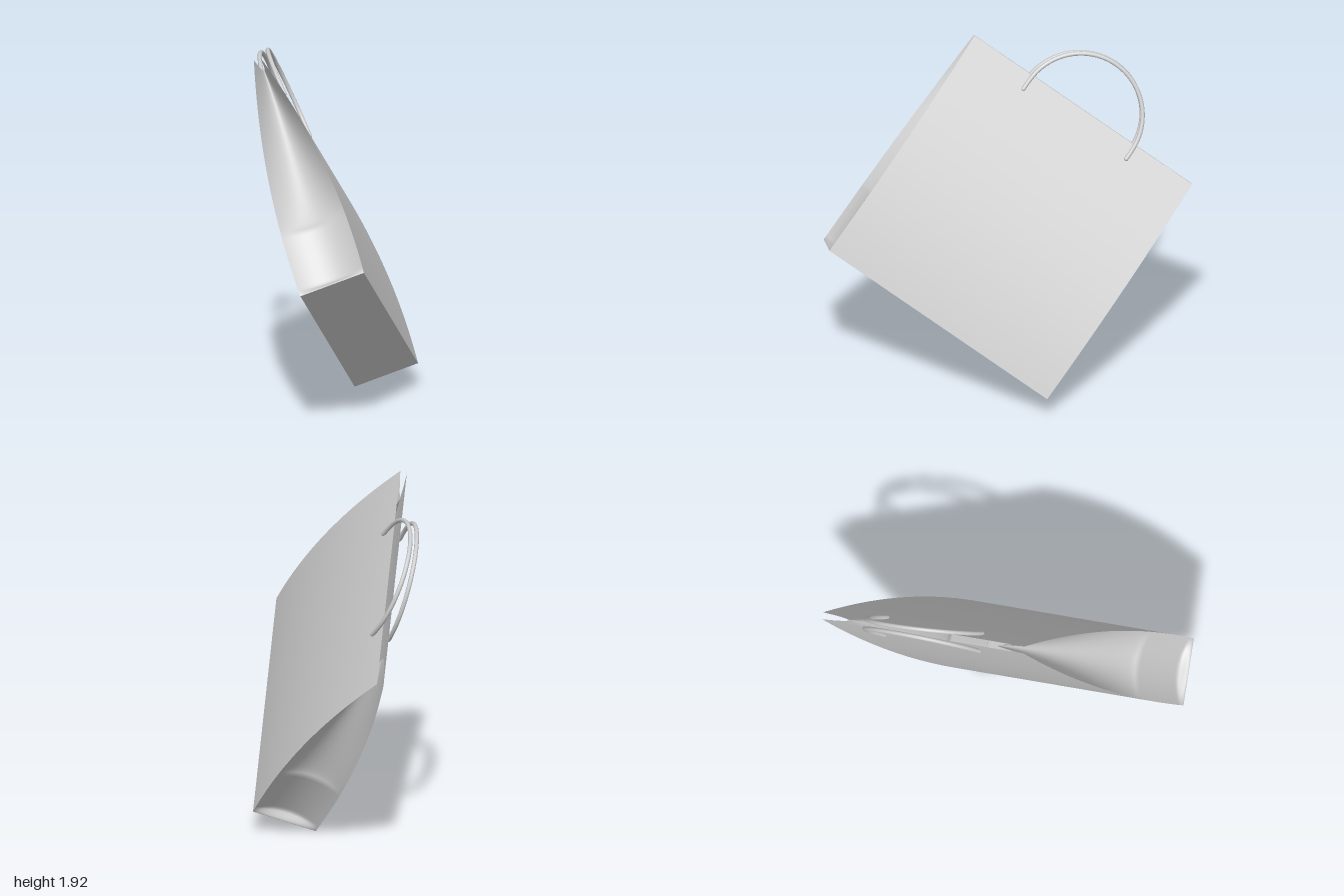
import * as THREE from 'three';
import { ParametricGeometry } from 'three/addons/geometries/ParametricGeometry.js';

const W = 1.442, H = 1.39, D = 0.366, TOP = 0.038;

// Bowed half-depth of the front (+1) or back (-1) panel at height fraction t
const depthAt = (t, side) => {
  const bulge = side > 0 ? 0.062 : 0.05;
  return THREE.MathUtils.lerp(D / 2, TOP / 2, t) + 4 * bulge * t * (1 - t);
};

export function createModel() {
  const model = new THREE.Group();
  const paper = new THREE.MeshStandardMaterial({ color: 0xcccccc, side: THREE.DoubleSide });
  const cord = new THREE.MeshStandardMaterial({ color: 0xcccccc });
  const bag = new THREE.Group();
  bag.name = 'shoppingBag';
  model.add(bag);

  const add = (name, geometry, material = paper) => {
    const mesh = new THREE.Mesh(geometry, material);
    mesh.name = name;
    bag.add(mesh);
    return mesh;
  };

  // Large front and back panels, bowed outwards
  for (const side of [1, -1]) {
    add(side > 0 ? 'frontPanel' : 'backPanel', new ParametricGeometry((u, t, p) => {
      p.set(side * (u - 0.5) * W, t * H, side * depthAt(t, side));
    }, 4, 32));
  }

  // Side gussets, folding inwards more deeply as the bag narrows
  for (const side of [1, -1]) {
    add(side > 0 ? 'leftGusset' : 'rightGusset', new ParametricGeometry((u, v, p) => {
      const t = v * v * (2 - v);
      const s = (u * 2 - 1) * side;
      const front = depthAt(t, 1), back = depthAt(t, -1);
      const half = (front + back) / 2;
      const ledge = 0.05 * THREE.MathUtils.smoothstep(t, 0, 0.03);
      const fold = ledge + 0.75 * Math.sqrt(Math.max(0, (D / 2) ** 2 - half ** 2));
      const z = (front - back) / 2 - s * half;
      p.set(side * (W / 2 - fold * (1 - s * s)), t * H, z);
    }, 20, 48));
  }

  // Flat base
  const base = add('base', new THREE.PlaneGeometry(W, D));
  base.rotation.x = Math.PI / 2;

  // Cord handles: short straight ends, a round arch, tops leaning together
  for (const side of [1, -1]) {
    const points = [];
    const R = 0.34, footY = 1.305, arcY = 1.355;
    const put = (x, y) => points.push(
      new THREE.Vector3(x, y, side * (0.048 - 0.03 * (y - footY) / (arcY + R - footY))));
    put(R, footY);
    for (let i = 0; i <= 16; i++) {
      const a = Math.PI * i / 16;
      put(R * Math.cos(a), arcY + R * Math.sin(a));
    }
    put(-R, footY);
    const handle = new THREE.Group();
    handle.name = side > 0 ? 'frontHandle' : 'backHandle';
    const path = new THREE.CatmullRomCurve3(points);
    const loop = new THREE.Mesh(new THREE.TubeGeometry(path, 64, 0.012, 10), cord);
    loop.name = 'handleCord';
    handle.add(loop);
    // Rounded cord ends
    for (const end of [points[0], points[points.length - 1]]) {
      const tip = new THREE.Mesh(new THREE.SphereGeometry(0.012, 10, 8), cord);
      tip.name = 'cordEnd';
      tip.position.copy(end);
      handle.add(tip);
    }
    bag.add(handle);
  }

  // Tilt the whole bag onto its lower corner
  const x = new THREE.Vector3(0.43, -0.562, -0.707).normalize();
  const y = new THREE.Vector3(-0.1024, 0.7477, -0.656);
  y.addScaledVector(x, -y.dot(x)).normalize();
  const z = new THREE.Vector3().crossVectors(x, y);
  bag.quaternion.setFromRotationMatrix(new THREE.Matrix4().makeBasis(x, y, z));
  bag.position.set(0.02, 0.472, 0.428);
  return model;
}
